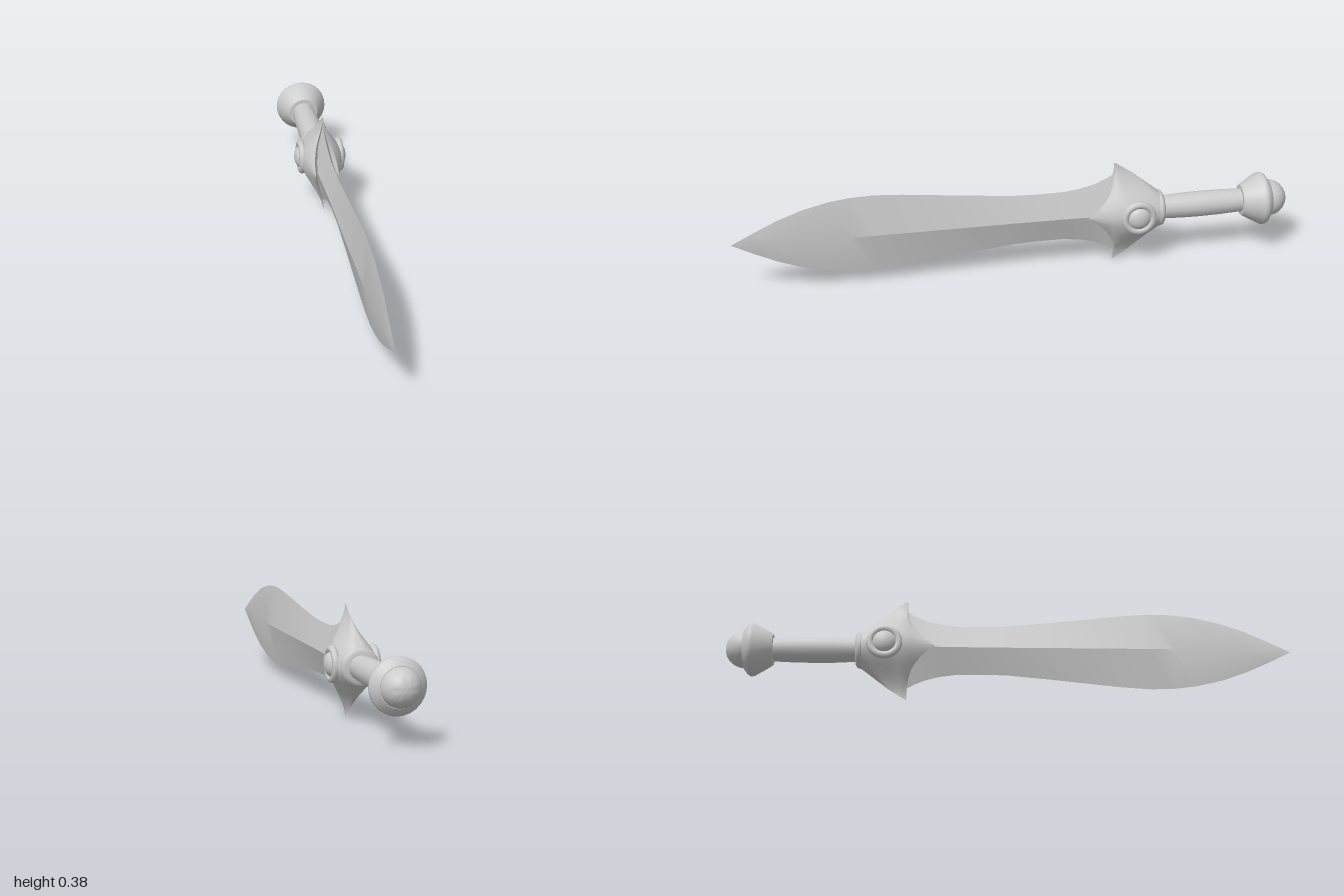
import * as THREE from 'three';
import { toCreasedNormals } from 'three/addons/utils/BufferGeometryUtils.js';

const AXIS_Y = 0.195;
const steel = new THREE.MeshStandardMaterial({ color: 0xcccccc });

// Skin closed rings of points, ordered from the back to the front along z
function loft(rings, crease) {
  const n = rings[0].length;
  const index = [];
  for (let i = 0; i < rings.length - 1; i++) {
    for (let j = 0; j < n; j++) {
      const k = (j + 1) % n;
      const a = i * n + j, b = i * n + k, c = a + n, d = b + n;
      index.push(a, b, d, a, d, c);
    }
  }
  const geometry = new THREE.BufferGeometry();
  geometry.setAttribute('position', new THREE.Float32BufferAttribute(rings.flat(2), 3));
  geometry.setIndex(index);
  return toCreasedNormals(geometry, crease);
}

// Turn a [radius, z] profile around the sword's axis
function turned(profile, sides, crease = 0.6) {
  const points = profile.map(([r, z]) => new THREE.Vector2(r, z));
  const geometry = new THREE.LatheGeometry(points, sides).rotateX(Math.PI / 2);
  return toCreasedNormals(geometry, crease);
}

// Leaf-shaped blade with a diamond section
function bladeGeometry() {
  const outline = [ // z, half height, half thickness
    [-0.42, 0.11, 0.04], [-0.36, 0.15, 0.038], [-0.33, 0.132, 0.036], [-0.29, 0.115, 0.034],
    [-0.24, 0.102, 0.032], [-0.18, 0.094, 0.03], [-0.08, 0.093, 0.028], [0, 0.096, 0.027],
    [0.15, 0.111, 0.026], [0.3, 0.128, 0.025], [0.4, 0.139, 0.024], [0.5, 0.146, 0.023],
    [0.58, 0.144, 0.021], [0.66, 0.134, 0.019], [0.75, 0.112, 0.016], [0.84, 0.079, 0.011],
    [0.92, 0.041, 0.006], [1, 0, 0],
  ];
  const rings = outline.map(([z, h, w]) => [[w, 0, z], [0, h, z], [-w, 0, z], [0, -h, z]]);
  return loft(rings, 0.3);
}

// Flared guard: round at the grip, drawn out into two points, hollow at the front
function guardGeometry() {
  const stations = [ // z, half height, half width, pointedness, forward reach at the middle
    [-0.53, 0, 0, 0, 0], [-0.53, 0.06, 0.06, 0, 0], [-0.5, 0.086, 0.07, 0.25, 0],
    [-0.46, 0.12, 0.079, 0.6, 0], [-0.42, 0.152, 0.081, 0.9, 0], [-0.385, 0.176, 0.075, 1, 0.005],
    [-0.362, 0.191, 0.062, 1, 0.03], [-0.358, 0.191, 0.043, 1, 0.1],
    [-0.375, 0.172, 0.026, 1, 0.07], [-0.4, 0, 0, 1, 0],
  ];
  const sides = 40;
  const rings = stations.map(([z, h, w, point, reach]) => {
    const ring = [];
    for (let j = 0; j < sides; j++) {
      const a = (j / sides) * Math.PI * 2;
      const t = Math.sin(a);
      const bell = Math.pow(Math.max(0, 0.5 + 0.5 * Math.cos(Math.PI * t)), 0.85);
      const x = w * THREE.MathUtils.lerp(Math.abs(Math.cos(a)), bell, point);
      ring.push([Math.cos(a) < 0 ? -x : x, h * t, z + reach * Math.pow(1 - Math.abs(t), 3)]);
    }
    return ring;
  });
  return loft(rings, 0.7);
}

export function createModel() {
  const sword = new THREE.Group();
  sword.name = 'sword';
  const add = (name, geometry) => {
    const mesh = new THREE.Mesh(geometry, steel);
    mesh.name = name;
    mesh.position.y = AXIS_Y;
    sword.add(mesh);
    return mesh;
  };

  add('blade', bladeGeometry());
  add('guard', guardGeometry());

  // Round gem in a raised ring on each side of the guard
  for (const side of [1, -1]) {
    const label = side > 0 ? 'left' : 'right';
    const ring = add(label + 'GemRing', new THREE.TorusGeometry(0.051, 0.013, 10, 32).rotateY(Math.PI / 2));
    ring.position.x = side * 0.071;
    ring.position.z = -0.437;
    const gem = add(label + 'Gem', new THREE.SphereGeometry(0.043, 24, 16).scale(0.65, 1, 1));
    gem.position.x = side * 0.069;
    gem.position.z = -0.437;
  }

  // Collar between guard and grip
  add('collar', turned([
    [0.03, -0.54], [0.054, -0.54], [0.063, -0.534], [0.066, -0.525], [0.063, -0.515], [0.05, -0.508],
  ], 28, 0.9));

  // Slightly swelling grip
  add('grip', turned([
    [0.042, -0.85], [0.042, -0.82], [0.045, -0.75], [0.046, -0.68], [0.045, -0.61], [0.042, -0.55], [0.042, -0.52],
  ], 16));

  // Flared pommel with a domed end
  const dome = [];
  for (let i = 0; i <= 8; i++) {
    const a = (i / 8) * Math.PI / 2;
    dome.push([0.066 * Math.sin(a), -0.934 - 0.066 * Math.cos(a)]);
  }
  add('pommelDome', turned(dome, 28, 0.9));
  add('pommel', turned([
    [0.05, -0.936], [0.068, -0.936], [0.09, -0.92], [0.095, -0.911], [0.094, -0.898],
    [0.062, -0.842], [0.055, -0.832], [0.03, -0.83],
  ], 28));

  return sword;
}
